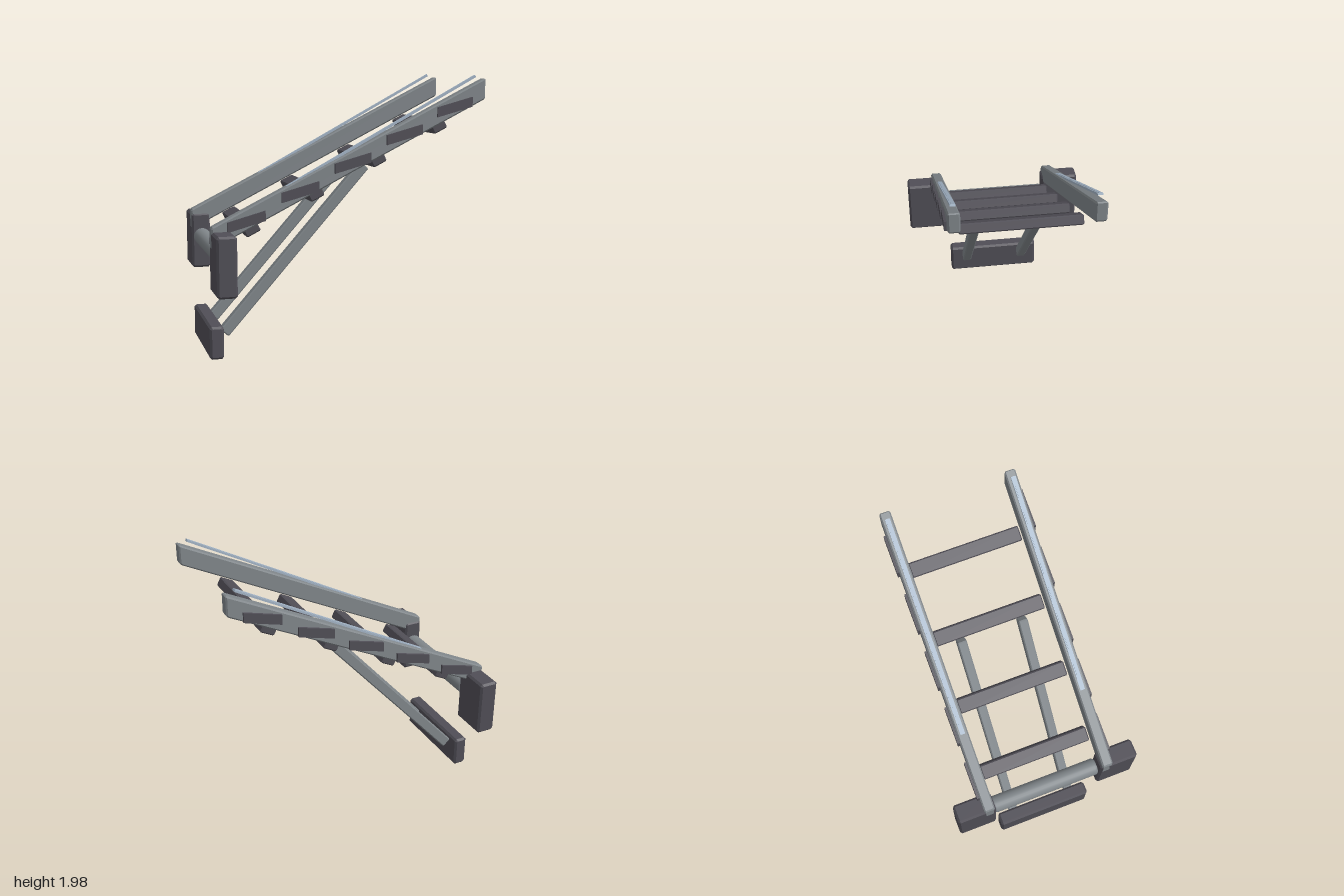
import * as THREE from 'three';

const material = (name, color) => {
  const m = new THREE.MeshStandardMaterial({ color });
  m.name = name;
  return m;
};

// Chamfers every corner of a polygon by a distance c
function chamferedShape(points, c) {
  const pts = points.map(([x, y]) => new THREE.Vector2(x, y));
  const out = [];
  pts.forEach((p, i) => {
    const prev = pts[(i + pts.length - 1) % pts.length];
    const next = pts[(i + 1) % pts.length];
    for (const q of [prev, next]) {
      out.push(p.clone().add(q.clone().sub(p).setLength(c)));
    }
  });
  return new THREE.Shape(out);
}

// Extrudes a polygon along z, centred, with flat bevels inside the outline
function bevelled(points, depth, bevel) {
  const geo = new THREE.ExtrudeGeometry(chamferedShape(points, bevel), {
    depth: depth - 2 * bevel,
    bevelEnabled: true,
    bevelSegments: 1,
    bevelSize: bevel,
    bevelThickness: bevel,
    bevelOffset: -bevel,
  });
  return geo.translate(0, 0, -depth / 2 + bevel);
}

function bevelledBox(w, h, d, bevel) {
  const x = w / 2, y = h / 2;
  return bevelled([[-x, -y], [x, -y], [x, y], [-x, y]], d, bevel);
}

export function createModel() {
  const group = new THREE.Group();
  const steel = material('steel grey', 0x80868a);
  const dark = material('dark iron', 0x504e56);
  const pale = material('pale blue strip', 0xa3b4c6);

  const add = (name, geo, mat, x = 0, y = 0, z = 0, tilt = 0) => {
    const mesh = new THREE.Mesh(geo, mat);
    mesh.name = name;
    mesh.position.set(x, y, z);
    mesh.rotation.z = tilt;
    group.add(mesh);
    return mesh;
  };

  // A beam running between two points of the xy plane
  const beam = (name, a, b, thick, width, z, mat, bevel) => {
    const dx = b[0] - a[0], dy = b[1] - a[1];
    const geo = bevel
      ? bevelledBox(Math.hypot(dx, dy), thick, width, bevel)
      : new THREE.BoxGeometry(Math.hypot(dx, dy), thick, width);
    add(name, geo, mat, (a[0] + b[0]) / 2, (a[1] + b[1]) / 2, z, Math.atan2(dy, dx));
  };

  const railGeo = bevelled([[-1, 0.81], [1, 1.81], [1, 1.96], [-1, 0.96]], 0.08, 0.01);
  const blockGeo = bevelledBox(0.14, 0.42, 0.29, 0.015);

  // Side plates: short boxes sheared so that their ends stay vertical
  const plateGeo = new THREE.BoxGeometry(0.265, 0.07, 0.03);
  plateGeo.applyMatrix4(new THREE.Matrix4().set(
    1, 0, 0, 0,
    0.27, 1, 0, 0,
    0, 0, 1, 0,
    0, 0, 0, 1));

  for (const [side, s] of [['left', -1], ['right', 1]]) {
    add(`${side}Rail`, railGeo, steel, 0, 0, s * 0.46);
    add(`${side}ShoulderBlock`, blockGeo, dark, -0.93, 0.72, s * 0.555);
    for (let i = 0; i < 5; i++) {
      add(`${side}Plate${i + 1}`, plateGeo, dark, -0.76 + i * 0.38, 0.995 + i * 0.19, s * 0.502);
    }
    // Strip rising off the top of the rail, with a fine ridge
    beam(`${side}Strip`, [-0.65, 1.12], [0.93, 1.972], 0.014, 0.035, s * 0.46, pale);
    beam(`${side}StripRidge`, [-0.43, 1.243], [0.93, 1.976], 0.012, 0.018, s * 0.46, pale);
    beam(`${side}Strut`, [-0.88, 0.162], [0.165, 1.335], 0.08, 0.07, s * 0.235, steel, 0.008);
  }

  // Cross rungs under the rails
  const rungGeo = bevelledBox(0.11, 0.07, 0.83, 0.008);
  for (let i = 0; i < 4; i++) {
    add(`rung${i + 1}`, rungGeo, dark, -0.703 + i * 0.461, 0.923 + i * 0.23, 0, Math.atan(0.5));
  }

  // Axle with slightly tapered ends, and the lower foot
  const axleProfile = [[0, -0.42], [0.048, -0.42], [0.063, -0.395], [0.063, 0.395], [0.048, 0.42], [0, 0.42]];
  const axleGeo = new THREE.LatheGeometry(axleProfile.map(([r, y]) => new THREE.Vector2(r, y)), 24);
  add('axle', axleGeo.rotateX(Math.PI / 2), steel, -0.925, 0.755, 0);
  add('footBlock', bevelledBox(0.1, 0.235, 0.73, 0.015), dark, -0.95, 0.1175, 0);

  return group;
}
